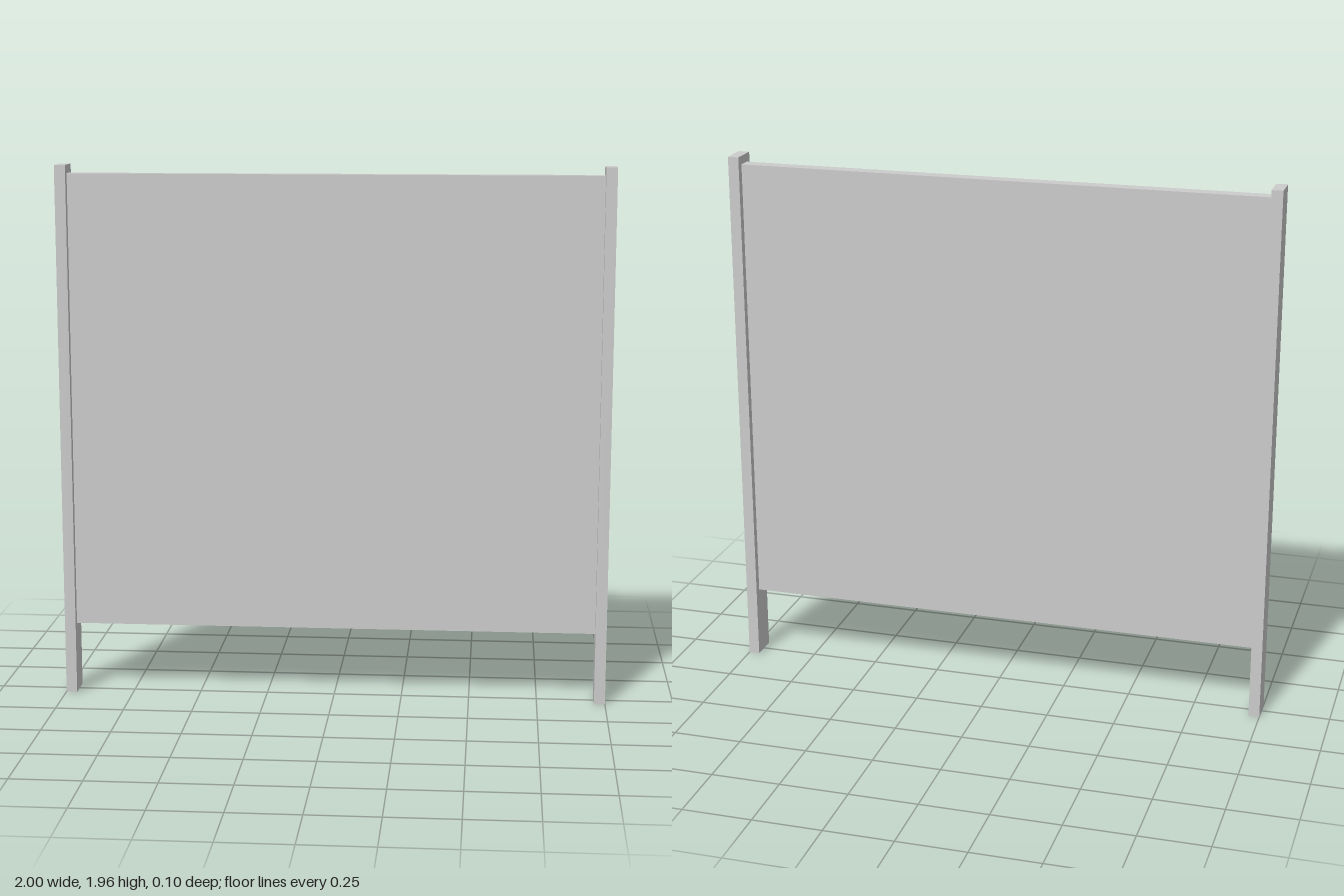
import * as THREE from 'three';

export function createModel() {
  const group = new THREE.Group();
  const material = new THREE.MeshStandardMaterial({ color: 0xcccccc, flatShading: true });

  const postWidth = 0.04, postHeight = 1.957, postDepth = 0.102;
  const panelBottom = 0.26, panelTop = 1.926, panelDepth = 0.05;

  function addBox(name, width, height, depth, x, bottom) {
    const mesh = new THREE.Mesh(new THREE.BoxGeometry(width, height, depth), material);
    mesh.name = name;
    mesh.position.set(x, bottom + height / 2, 0);
    group.add(mesh);
  }

  // Upright posts at both ends
  for (const side of [1, -1]) {
    addBox(side > 0 ? 'leftPost' : 'rightPost', postWidth, postHeight, postDepth, side * (1 - postWidth / 2), 0);
  }

  // Thin panel held between the posts, clear of the ground
  addBox('panel', 2 - 2 * postWidth, panelTop - panelBottom, panelDepth, 0, panelBottom);

  return group;
}
